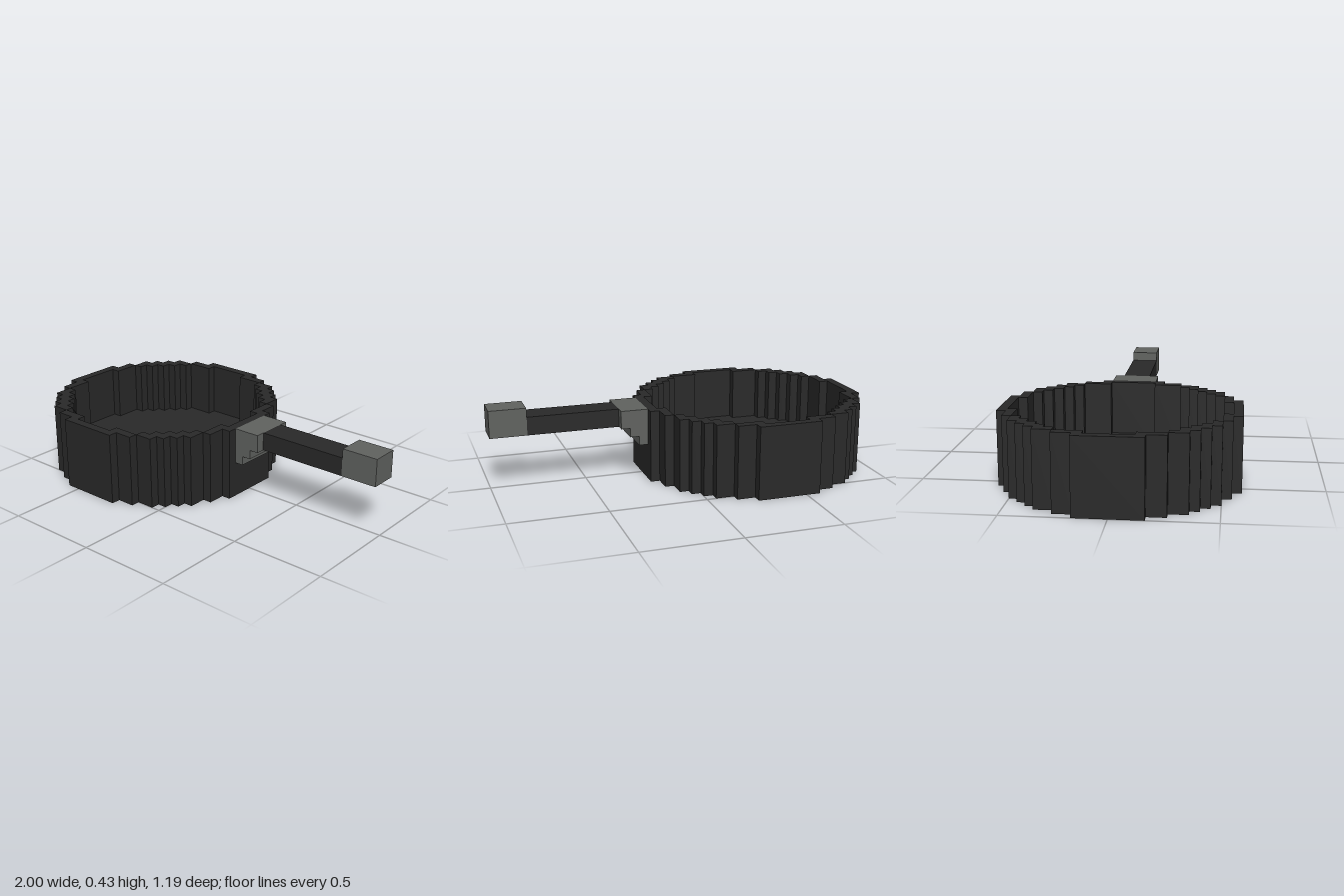
import * as THREE from 'three';

const U = 2 / 42;            // one block
const PAN_X = -1 + 12.5 * U; // centre of the round pan

// Half width of the stepped circle for each block row, from the middle row outwards
const OUTER = [12.5, 12.5, 12.5, 12.5, 11.5, 11.5, 10.5, 10.5, 9.5, 8.5, 7.5, 5.5, 3.5];
const INNER = [11.5, 11.5, 11.5, 10.5, 10.5, 10.5, 9.5, 8.5, 7.5, 6.5, 5.5, 2.5];

// Closed stepped outline, counter-clockwise, skipping points inside straight runs
function steppedOutline(rows) {
  const right = [];
  rows.forEach((half, i) => {
    if (i > 0 && rows[i - 1] !== half) {
      right.push([rows[i - 1], i - 0.5], [half, i - 0.5]);
    }
  });
  const last = rows.length - 1;
  right.push([rows[last], last + 0.5]);
  const mirror = (sx, sy) => right.map(([x, y]) => new THREE.Vector2(x * sx * U, y * sy * U));
  return [
    ...mirror(1, 1),
    ...mirror(-1, 1).reverse(),
    ...mirror(-1, -1),
    ...mirror(1, -1).reverse(),
  ];
}

// Upright prism standing on y = 0
function prism(shape, height) {
  const geometry = new THREE.ExtrudeGeometry(shape, { depth: height * U, bevelEnabled: false });
  return geometry.rotateX(-Math.PI / 2).translate(PAN_X, 0, 0);
}

export function createModel() {
  const iron = new THREE.MeshStandardMaterial({ color: 0x292929 });
  iron.name = 'darkIron';
  const steel = new THREE.MeshStandardMaterial({ color: 0x60625f });
  steel.name = 'greySteel';

  const model = new THREE.Group();
  model.name = 'fryingPan';

  const add = (name, geometry, material) => {
    const mesh = new THREE.Mesh(geometry, material);
    mesh.name = name;
    model.add(mesh);
  };

  // Box given in blocks: x and y ranges, and depth centred on z = 0
  const addBlock = (name, x0, x1, y0, y1, depth, material) => {
    const geometry = new THREE.BoxGeometry((x1 - x0) * U, (y1 - y0) * U, depth * U);
    geometry.translate(-1 + ((x0 + x1) / 2) * U, ((y0 + y1) / 2) * U, 0);
    add(name, geometry, material);
  };

  // Pan: stepped ring wall with a floor two blocks thick inside it
  const wall = new THREE.Shape(steppedOutline(OUTER));
  wall.holes.push(new THREE.Path(steppedOutline(INNER)));
  add('panWall', prism(wall, 8), iron);
  add('panFloor', prism(new THREE.Shape(steppedOutline(INNER)), 2), iron);

  // Handle bracket: stepped profile, wide across z
  const profile = [[0, 4], [1, 4], [1, 5], [2, 5], [2, 6], [3, 6], [3, 8], [0, 8]];
  const bracket = new THREE.ExtrudeGeometry(
    new THREE.Shape(profile.map(([x, y]) => new THREE.Vector2(x * U, y * U))),
    { depth: 5 * U, bevelEnabled: false },
  );
  add('handleBracket', bracket.translate(-1 + 25 * U, 0, -2.5 * U), steel);

  // Handle bar and its raised end
  addBlock('handleBar', 28, 38, 6, 8, 3, iron);
  addBlock('handleEnd', 38, 42, 6, 9, 3, steel);

  return model;
}
